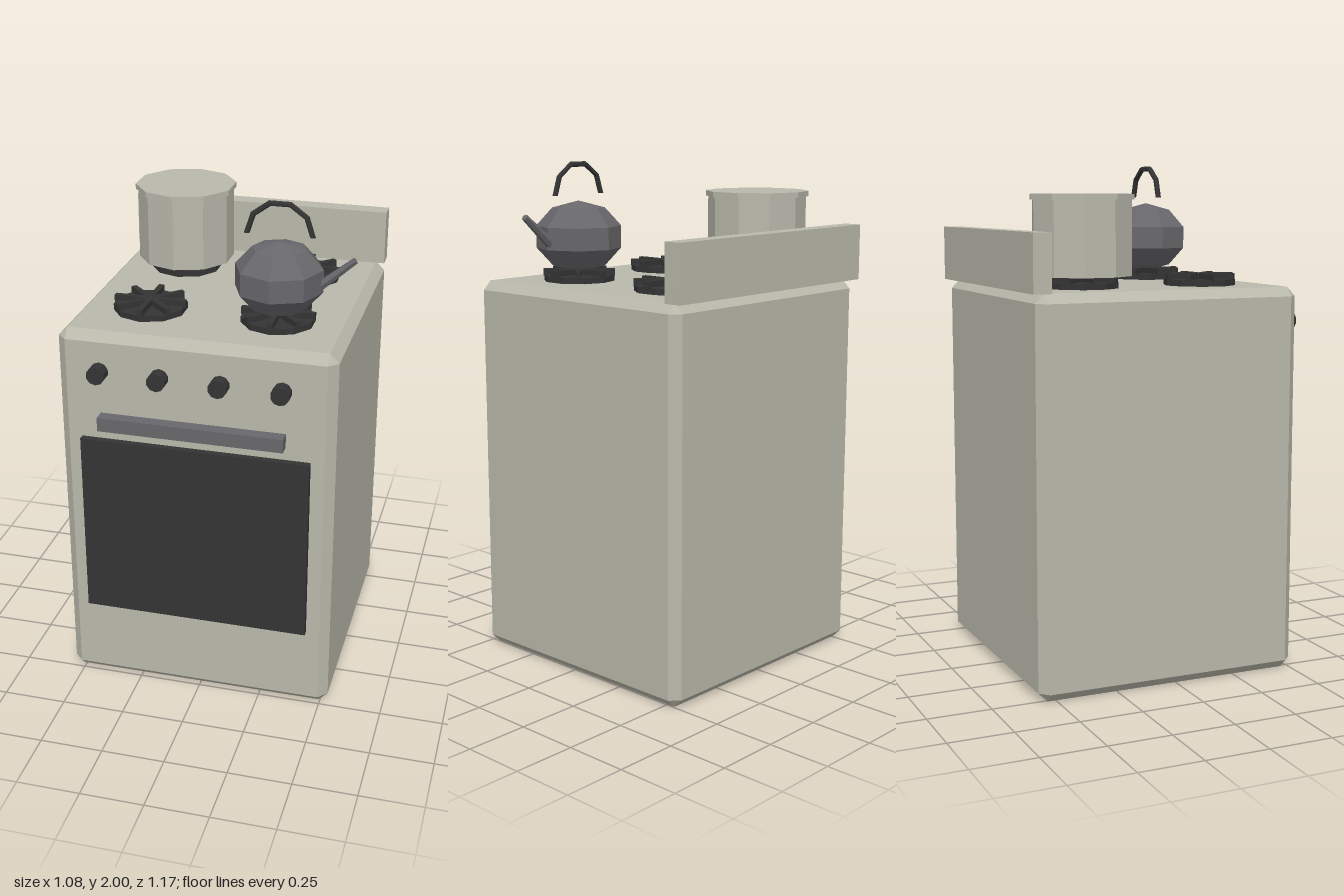
import * as THREE from 'three';
import { ConvexGeometry } from 'three/addons/geometries/ConvexGeometry.js';

const material = (name, color) => {
  const m = new THREE.MeshStandardMaterial({ color, flatShading: true });
  m.name = name;
  return m;
};

// Box with all edges chamfered by c
function chamferBox(w, h, d, c) {
  const half = [w / 2, h / 2, d / 2];
  const points = [];
  for (const sx of [-1, 1]) for (const sy of [-1, 1]) for (const sz of [-1, 1]) {
    for (let face = 0; face < 3; face++) {
      const p = [sx, sy, sz].map((s, i) => s * (half[i] - (i === face ? 0 : c)));
      points.push(new THREE.Vector3(...p));
    }
  }
  return new ConvexGeometry(points);
}

export function createModel() {
  const enamel = material('enamel', 0xb8b8ab);
  const iron = material('castIron', 0x343434);
  const steel = material('steel', 0x68686c);

  const model = new THREE.Group();
  model.name = 'stove';

  function add(parent, name, geometry, mat, x = 0, y = 0, z = 0) {
    const mesh = new THREE.Mesh(geometry, mat);
    mesh.name = name;
    mesh.position.set(x, y, z);
    parent.add(mesh);
    return mesh;
  }

  // Cabinet, backsplash and oven door
  const cx = -0.007;
  add(model, 'body', chamferBox(1.075, 1.53, 1.077, 0.036), enamel, cx, 0.765, -0.031);
  add(model, 'backsplash', new THREE.BoxGeometry(1.075, 0.22, 0.072), enamel, cx, 1.64, -0.552);
  add(model, 'ovenDoor', new THREE.BoxGeometry(0.897, 0.752, 0.04), iron, cx, 0.721, 0.514);
  add(model, 'doorHandle', new THREE.BoxGeometry(0.717, 0.055, 0.05), steel, cx, 1.192, 0.561);

  // Control knobs
  for (let i = 0; i < 4; i++) {
    const knob = add(model, 'knob', new THREE.CylinderGeometry(0.036, 0.036, 0.05, 10), iron,
      -0.368 + i * 0.2343, 1.387, 0.554);
    knob.rotation.x = Math.PI / 2;
  }

  // Burners: a ten-sided plate carrying four crossed bars
  for (const x of [-0.26, 0.245]) for (const z of [-0.285, 0.217]) {
    const burner = new THREE.Group();
    burner.name = 'burner';
    burner.position.set(x, 1.53, z);
    add(burner, 'burnerPlate', new THREE.CylinderGeometry(0.143, 0.143, 0.024, 10), iron, 0, 0.012, 0);
    for (let i = 0; i < 4; i++) {
      const bar = add(burner, 'grateBar', new THREE.BoxGeometry(0.286, 0.028, 0.022), iron, 0, 0.033, 0);
      bar.rotation.y = i * Math.PI / 4;
    }
    model.add(burner);
  }

  // Cooking pot with lid
  const pot = new THREE.Group();
  pot.name = 'pot';
  pot.position.set(-0.26, 0, -0.285);
  add(pot, 'potBody', new THREE.CylinderGeometry(0.195, 0.195, 0.288, 10), enamel, 0, 1.721, 0);
  add(pot, 'potLid', new THREE.CylinderGeometry(0.205, 0.205, 0.021, 10), enamel, 0, 1.875, 0);
  model.add(pot);

  // Kettle with spout and arched handle
  const kettle = new THREE.Group();
  kettle.name = 'kettle';
  kettle.position.set(0.245, 1.705, 0.217);
  const belly = add(kettle, 'kettleBody', new THREE.SphereGeometry(0.178, 8, 5), steel);
  belly.scale.y = 0.8;
  const start = new THREE.Vector3(0.125, -0.045, 0);
  const end = new THREE.Vector3(0.286, 0.092, 0);
  const dir = end.clone().sub(start);
  const spout = add(kettle, 'spout', new THREE.CylinderGeometry(0.013, 0.021, dir.length(), 6), steel);
  spout.position.copy(start).add(end).multiplyScalar(0.5);
  spout.quaternion.setFromUnitVectors(new THREE.Vector3(0, 1, 0), dir.normalize());
  const arch = add(kettle, 'kettleHandle', new THREE.TorusGeometry(0.125, 0.011, 6, 5, Math.PI), iron, 0, 0.166, 0);
  arch.material.side = THREE.DoubleSide;
  model.add(kettle);

  return model;
}
